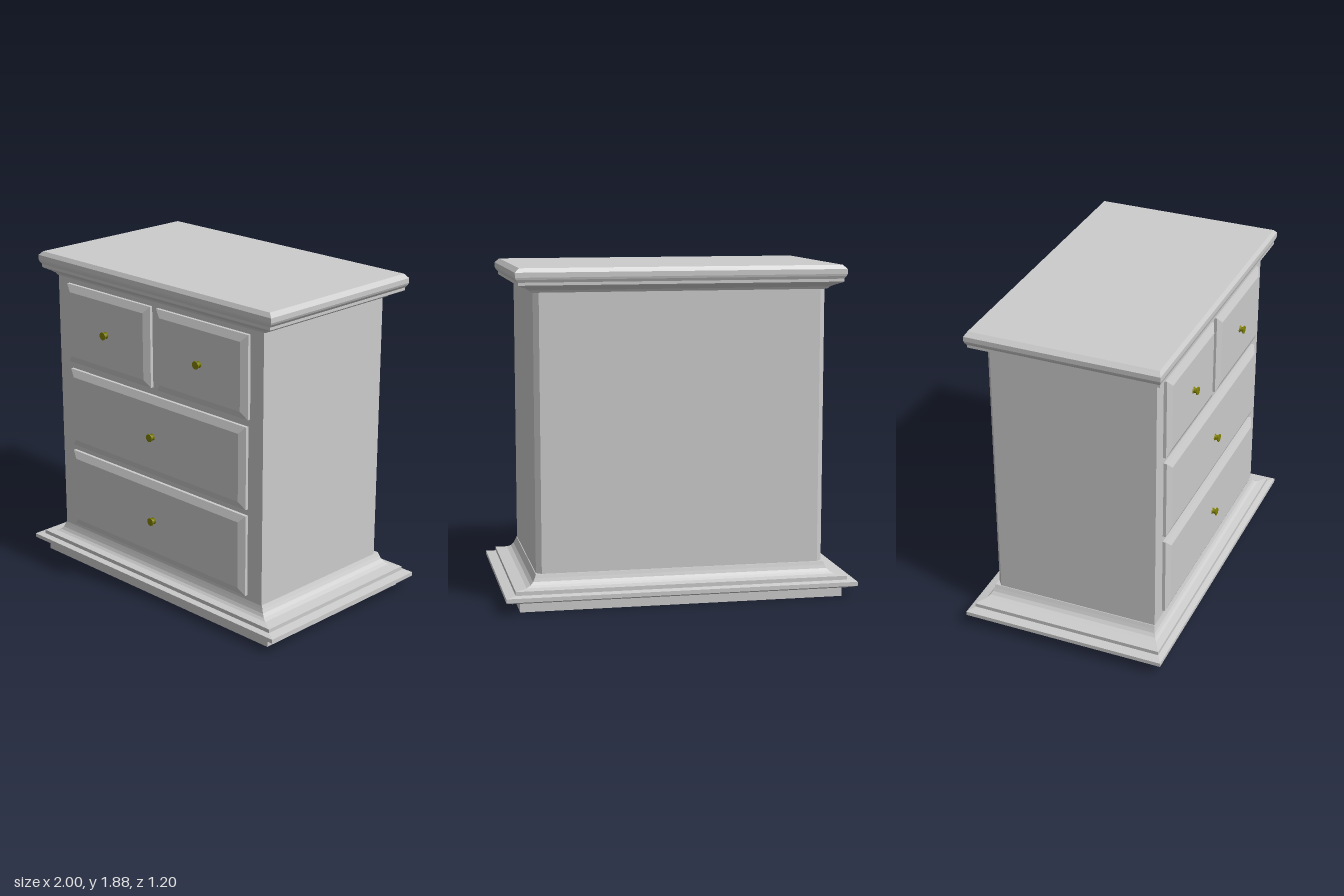
import * as THREE from 'three';

const grey = new THREE.MeshStandardMaterial({ color: 0xcccccc });
const brass = new THREE.MeshStandardMaterial({ color: 0x808000 });
const DEPTH_RATIO = 0.6;

function addMesh(parent, name, geometry, material = grey) {
  const mesh = new THREE.Mesh(geometry, material);
  mesh.name = name;
  parent.add(mesh);
  return mesh;
}

// Rectangular moulding: a profile of [half width, height], mitred round four sides and closed at both ends
function moulding(profile) {
  const points = [[0, profile[0][1]], ...profile, [0, profile[profile.length - 1][1]]]
    .map(([w, y]) => new THREE.Vector2(w * Math.SQRT2, y));
  const geometry = new THREE.LatheGeometry(points, 4, Math.PI / 4)
    .scale(1, 1, DEPTH_RATIO).toNonIndexed();
  geometry.computeVertexNormals();
  return geometry;
}

function polygon(points) {
  return new THREE.Shape(points.map(([x, y]) => new THREE.Vector2(x, y)));
}

// Raised drawer front with a bevelled border
function drawerFront(width, height) {
  const bevel = 0.042;
  const w = width / 2 - bevel, h = height / 2 - bevel;
  return new THREE.ExtrudeGeometry(polygon([[-w, -h], [w, -h], [w, h], [-w, h]]), {
    depth: 0.035, bevelEnabled: true, bevelSegments: 1, bevelSize: bevel, bevelThickness: 0.018,
  });
}

export function createModel() {
  const chest = new THREE.Group();
  chest.name = 'chestOfDrawers';

  // Plinth and stepped base moulding with a cove running up to the carcass
  addMesh(chest, 'baseMoulding', moulding([
    [0.92, 0], [0.92, 0.052], [0.965, 0.056], [1, 0.067], [1, 0.09],
    [0.945, 0.098], [0.945, 0.12], [0.88, 0.128], [0.857, 0.139],
    [0.841, 0.156], [0.832, 0.175], [0.824, 0.195],
  ]));

  // Carcass with chamfered back corners
  const body = new THREE.ExtrudeGeometry(polygon([
    [-0.82, -0.495], [0.82, -0.495], [0.82, 0.46], [0.79, 0.485], [-0.79, 0.485], [-0.82, 0.46],
  ]), { depth: 1.58, bevelEnabled: false });
  body.rotateX(-Math.PI / 2).translate(0, 0.185, 0);
  addMesh(chest, 'carcass', body);

  // Overhanging top with its crown moulding
  addMesh(chest, 'topMoulding', moulding([
    [0.825, 1.75], [0.838, 1.763], [0.865, 1.775], [0.9, 1.787], [0.908, 1.792],
    [0.908, 1.808], [0.92, 1.823], [0.925, 1.835], [0.925, 1.862], [0.9, 1.885],
  ]));

  // Knob: flared stem and a flat round head, turned about z
  const knob = new THREE.LatheGeometry([
    [0.02, 0], [0.014, 0.006], [0.014, 0.018], [0.023, 0.022], [0.023, 0.028], [0, 0.03],
  ].map(([r, z]) => new THREE.Vector2(r, z)), 16).rotateX(Math.PI / 2).toNonIndexed();
  knob.computeVertexNormals();

  // Two small drawers over two wide ones: [x, y, width, height]
  const drawers = [
    ['topLeftDrawer', 0.375, 1.487, 0.7, 0.47],
    ['topRightDrawer', -0.375, 1.487, 0.7, 0.47],
    ['middleDrawer', 0, 0.971, 1.426, 0.475],
    ['bottomDrawer', 0, 0.459, 1.426, 0.475],
  ];
  for (const [name, x, y, width, height] of drawers) {
    const drawer = new THREE.Group();
    drawer.name = name;
    drawer.position.set(x, y, 0.478);
    addMesh(drawer, 'drawerFront', drawerFront(width, height));
    addMesh(drawer, 'knob', knob, brass).position.z = 0.053;
    chest.add(drawer);
  }
  return chest;
}
